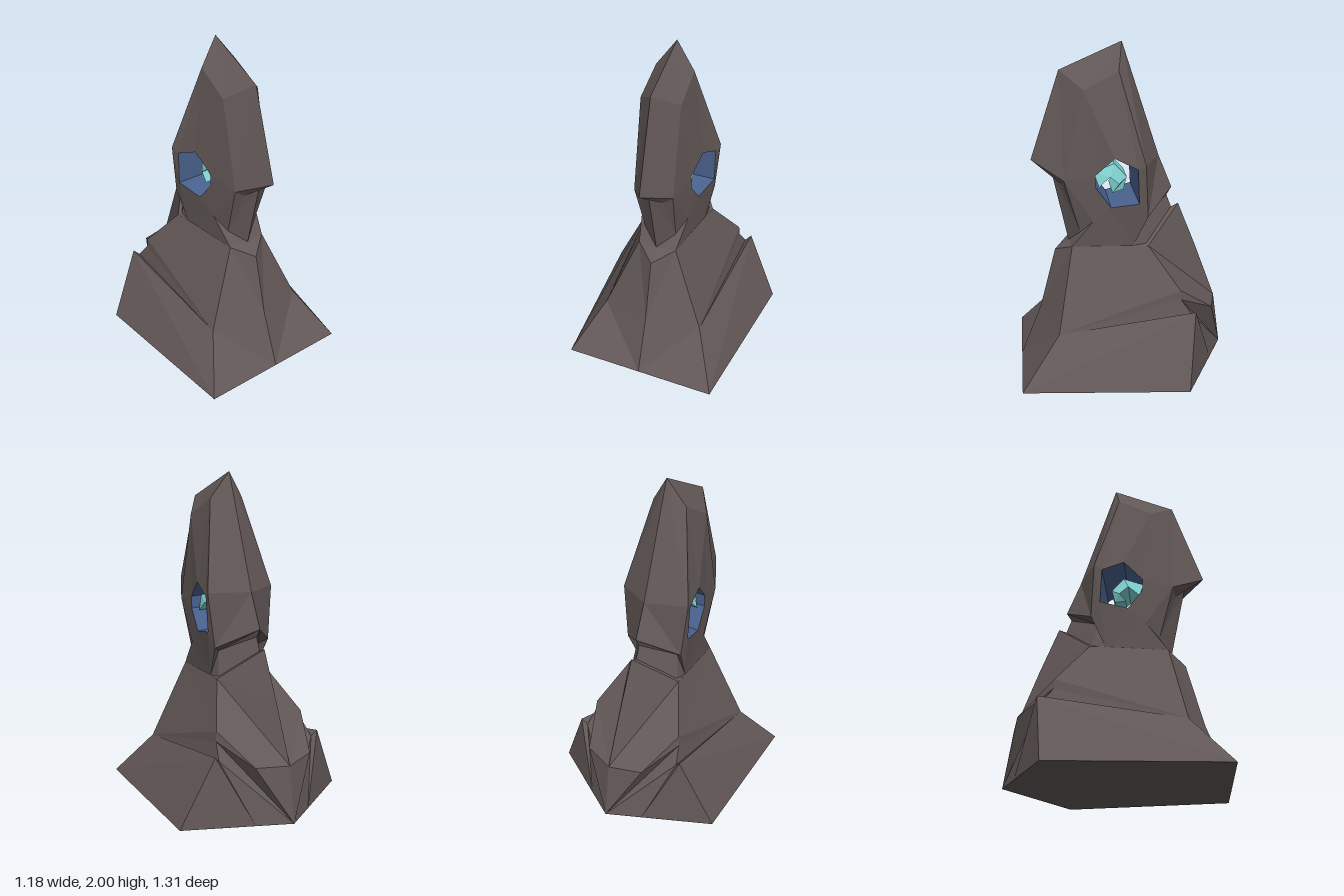
import * as THREE from 'three';

const cloth = new THREE.MeshStandardMaterial({ color: 0x625857, side: THREE.DoubleSide });
cloth.name = 'dark cloth';
const lining = new THREE.MeshStandardMaterial({ color: 0x4a628f, side: THREE.DoubleSide });
lining.name = 'blue lining';
const crystal = new THREE.MeshStandardMaterial({ color: 0x7fd0d0, side: THREE.DoubleSide });
crystal.name = 'teal crystal';

// Flat facets from polygons; each is turned to face away from centre (or towards it when inward).
function facets(name, polys, centre, material, inward = false) {
  const pos = [];
  const c = new THREE.Vector3(...centre);
  const n = new THREE.Vector3();
  for (const poly of polys) {
    const v = poly.map(p => new THREE.Vector3(...p));
    for (let i = 1; i < v.length - 1; i++) {
      const t = [v[0], v[i], v[i + 1]];
      new THREE.Triangle(...t).getNormal(n);
      const mid = t[0].clone().add(t[1]).add(t[2]).divideScalar(3).sub(c);
      if ((n.dot(mid) < 0) !== inward) t.reverse();
      t.forEach(p => pos.push(p.x, p.y, p.z));
    }
  }
  const g = new THREE.BufferGeometry();
  g.setAttribute('position', new THREE.Float32BufferAttribute(pos, 3));
  g.computeVertexNormals();
  const m = new THREE.Mesh(g, material);
  m.name = name;
  return m;
}

const flip = p => [-p[0], p[1], p[2]];

// Faces named by their corners on the +x half, plus the mirrored half.
function mirrored(points, faces) {
  const half = faces.map(f => f.split(' ').map(k => points[k]));
  return [...half, ...half.map(f => f.map(flip))];
}

const P = {
  // base outline
  baseMid: [0, 0, 0.655], baseFront: [0.48, 0, 0.655], baseSide: [0.59, 0, -0.34],
  baseCut: [0.2, 0, -0.547], baseBack: [0, 0, -0.655],
  // shoulder fold
  foldMid: [0, 0.34, 0.52], foldFront: [0.32, 0.29, 0.42], lip: [0.385, 0.42, -0.405],
  groove: [0.35, 0.385, -0.39], under: [0.325, 0.48, -0.325], over: [0.32, 0.54, -0.32],
  hem: [0.205, 0.36, -0.545], spineLow: [0, 0.345, -0.605],
  // collar
  collarMid: [0, 0.72, 0.42], collarFront: [0.12, 0.78, 0.32], collarBack: [0.19, 0.79, -0.14],
  spine: [0, 0.705, -0.47], collarTip: [0, 0.99, -0.355],
  innerTip: [0, 0.97, -0.31], innerBack: [0.17, 0.8, -0.13], neck: [0.175, 0.79, -0.05],
  // hood
  apex: [0, 2, 0], crown: [0.115, 1.845, 0.03], temple: [0.12, 1.74, 0.235], ridge: [0, 1.84, 0.37],
  tip: [0, 1.305, 0.55], brow: [0.12, 1.2, 0.36], wide: [0.235, 1.31, -0.115], nape: [0, 1.31, -0.225],
  hoodSide: [0.2, 0.98, -0.135], hoodBack: [0, 1.1, -0.31],
  innerSide: [0.15, 0.95, -0.1], innerNape: [0, 1.05, -0.28], cheek: [0.15, 0.95, 0.19],
  // face plate
  beardTop: [0, 1.235, 0.43], beardSide: [0.062, 1.16, 0.37], jaw: [0.1, 0.865, 0.268], chin: [0, 0.78, 0.335],
  // opening through the head
  h0: [0.19, 1.347, 0.064], h1: [0.22, 1.285, -0.07], h2: [0.212, 1.07, -0.08],
  h3: [0.175, 1.04, 0.085], h4: [0.16, 1.165, 0.175], h5: [0.16, 1.24, 0.175],
};

export function createModel() {
  const group = new THREE.Group();
  group.name = 'hoodedBust';

  // Lower mantle with its grooved edge
  group.add(facets('lowerMantle', mirrored(P, [
    'baseMid baseFront foldFront foldMid',
    'baseFront baseSide lip foldFront',
    'lip baseSide baseCut',
    'foldFront lip groove', 'foldFront groove under', 'foldFront under over',
    'groove lip baseCut', 'groove baseCut baseBack',
    'under groove baseBack', 'under baseBack hem', 'over under hem',
    'baseBack baseMid baseFront baseSide baseCut',
  ]), [0, 0.25, 0], cloth));

  // Upper cloak and collar
  group.add(facets('upperCloak', mirrored(P, [
    'foldMid foldFront collarFront collarMid',
    'collarFront foldFront over collarBack',
    'collarBack over spineLow spine',
    'over hem spineLow', 'hem baseBack spineLow',
    'collarBack spine collarTip',
    'collarBack collarTip innerTip innerBack',
    'collarMid collarFront chin',
    'collarFront neck collarBack', 'neck innerBack collarBack',
  ]), [0, 0.35, 0], cloth));

  // Hood and neck, with a six-sided opening on each side
  group.add(facets('hood', mirrored(P, [
    'apex crown temple ridge',
    'ridge temple brow tip',
    'apex nape wide crown',
    'nape hoodBack hoodSide wide',
    'crown wide h1 h0', 'wide hoodSide h2 h1', 'hoodSide neck h2', 'neck h3 h2',
    'neck cheek h3', 'cheek h4 h3', 'cheek brow h4', 'brow h5 h4',
    'brow temple h5', 'temple h0 h5', 'temple crown h0',
    'hoodBack hoodSide innerSide innerNape',
    'innerNape innerSide innerBack innerTip',
    'hoodSide neck innerSide', 'innerSide neck innerBack',
    'cheek jaw collarFront', 'cheek collarFront neck', 'brow cheek jaw',
    'jaw chin collarFront',
  ]), [0, 1.3, 0.05], cloth));

  // Pointed face plate below the brow
  group.add(facets('facePlate', mirrored(P, [
    'tip brow beardSide beardTop', 'brow jaw beardSide', 'beardTop beardSide jaw chin',
  ]), [0, 1.3, 0.05], cloth));

  // Lining of the opening
  const ring = [P.h0, P.h1, P.h2, P.h3, P.h4, P.h5];
  group.add(facets('openingLining', ring.map((p, i) => {
    const q = ring[(i + 1) % 6];
    return [p, q, flip(q), flip(p)];
  }), [0, 1.19, 0.05], lining, true));

  // Curled crystal: sections of outer z, y, then inner z, y
  const sections = [
    [0.18, 1.24, 0.152, 1.152], [0.055, 1.287, 0.085, 1.215],
    [-0.02, 1.205, 0.03, 1.168], [0, 1.125, 0.07, 1.115],
  ].map(([zo, yo, zi, yi]) => [[0.085, yo, zo], [0.12, yi, zi], [-0.12, yi, zi], [-0.085, yo, zo]]);
  const curl = new THREE.Group();
  curl.name = 'curledCrystal';
  for (let s = 0; s < 3; s++) {
    const a = sections[s], b = sections[s + 1];
    const polys = a.map((p, i) => [p, a[(i + 1) % 4], b[(i + 1) % 4], b[i]]);
    if (s === 0) polys.push(a);
    if (s === 2) polys.push(b);
    const mid = [0, 1, 2].map(k => [...a, ...b].reduce((t, p) => t + p[k], 0) / 8);
    curl.add(facets('crystalSegment' + (s + 1), polys, mid, crystal));
  }
  group.add(curl);
  return group;
}
